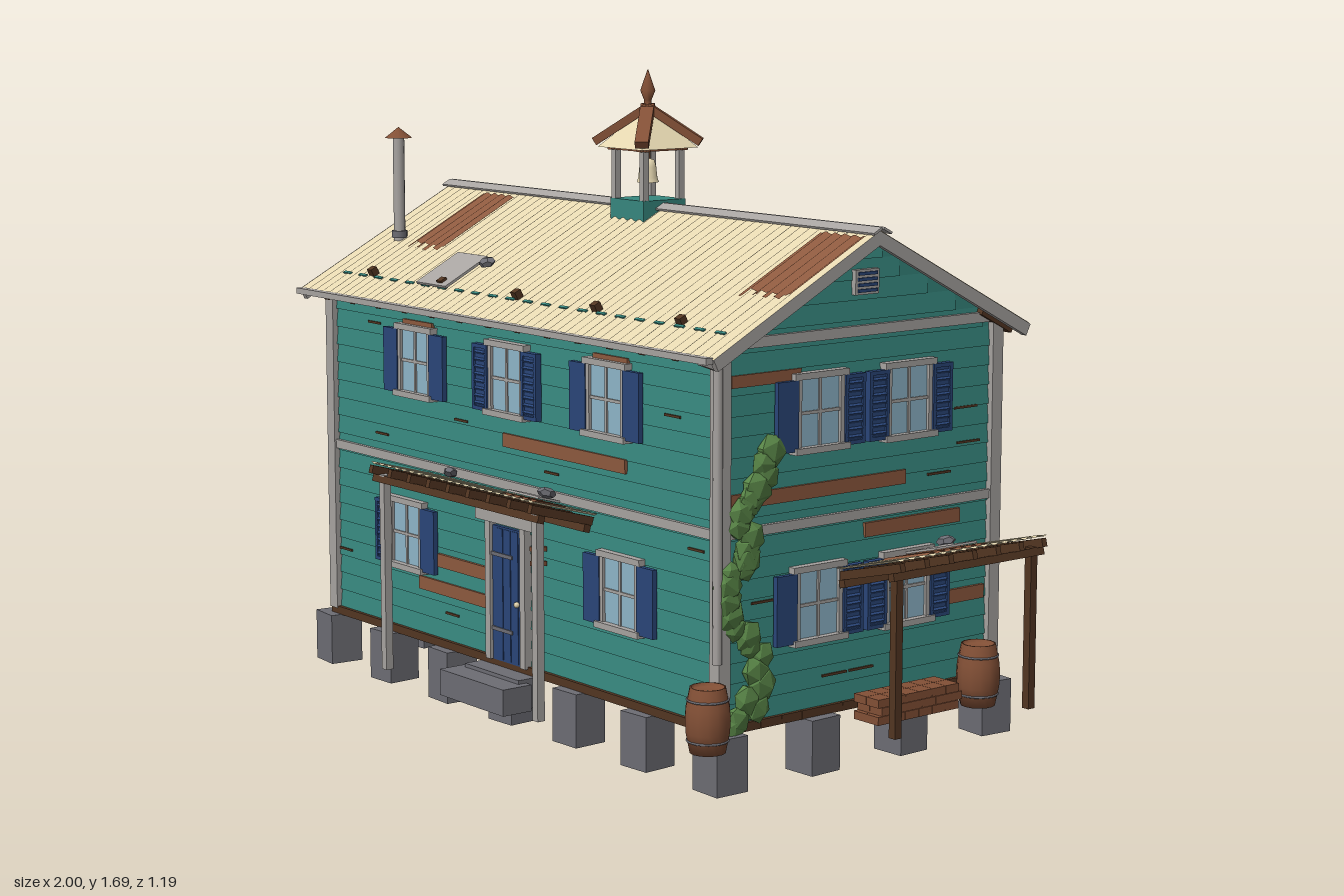
import * as THREE from 'three';

const mat = (name, color, side = THREE.FrontSide) => new THREE.MeshStandardMaterial({ name, color, side });

export function createModel() {
  const root = new THREE.Group();
  root.name = 'house';
  const teal = mat('teal paint', 0x37887f), cream = mat('cream metal', 0xe6d8b1, THREE.DoubleSide),
    rust = mat('rust', 0x8e5a3f, THREE.DoubleSide), dark = mat('dark wood', 0x533622),
    trim = mat('grey trim', 0xa8a4a1), blue = mat('blue paint', 0x2a4679), glass = mat('glass', 0x8fb6ca),
    stone = mat('stone', 0x6d6d74), green = mat('leaf green', 0x5a8748), wood = mat('red wood', 0x835036);

  let seed = 7;
  const rnd = () => (seed = (seed * 16807) % 2147483647) / 2147483647;
  const group = (parent, name, x = 0, y = 0, z = 0, ry = 0) => {
    const g = new THREE.Group();
    g.name = name; g.position.set(x, y, z); g.rotation.y = ry;
    parent.add(g);
    return g;
  };
  const add = (parent, name, geo, m, x = 0, y = 0, z = 0) => {
    const o = new THREE.Mesh(geo, m);
    o.name = name; o.position.set(x, y, z);
    parent.add(o);
    return o;
  };
  const box = (p, name, m, w, h, d, x, y, z) => add(p, name, new THREE.BoxGeometry(w, h, d), m, x, y, z);
  const beam = (p, name, m, w, h, a, b) => {
    const A = new THREE.Vector3(...a), B = new THREE.Vector3(...b), c = A.clone().lerp(B, 0.5);
    const o = box(p, name, m, w, h, A.distanceTo(B), c.x, c.y, c.z);
    o.quaternion.setFromRotationMatrix(new THREE.Matrix4().lookAt(B, A, new THREE.Vector3(0, 1, 0)));
    return o;
  };
  const rock = (p, x, y, z) => {
    const o = add(p, 'looseStone', new THREE.DodecahedronGeometry(0.024), stone, x, y, z);
    o.scale.set(1.1, 0.6, 0.8); o.rotation.y = rnd() * 3;
  };
  // corrugated sheet, waves across x
  const sheet = (p, name, m, x0, x1, z0, z1, lift = 0) => {
    const w = x1 - x0, g = new THREE.PlaneGeometry(w, Math.abs(z1 - z0), Math.ceil(w / 0.006), 1);
    g.rotateX(-Math.PI / 2).translate((x0 + x1) / 2, 0, (z0 + z1) / 2);
    const a = g.attributes.position;
    for (let i = 0; i < a.count; i++) a.setY(i, lift + 0.003 * Math.sin(a.getX(i) * 180));
    g.computeVertexNormals();
    return add(p, name, g, m);
  };

  const X0 = -0.92, X1 = 0.765, CX = (X0 + X1) / 2, LEN = X1 - X0, CZ = -0.067, HALF = 0.452;
  const RIDGE = 1.335, TAN = 0.515, ANG = Math.atan(TAN), COS = Math.cos(ANG);
  const WALL_TOP = RIDGE - 0.014 - HALF * TAN;

  // foundation blocks and plank floor
  for (let i = 0; i < 7; i++) for (let j = 0; j < 4; j++) {
    if (i % 6 && j % 3) continue;
    const b = box(root, 'foundationBlock', stone, 0.095, 0.14, 0.095, -0.93 + i * 0.282, 0.07, 0.38 - j * 0.298);
    b.rotation.y = (rnd() - 0.5) * 0.2;
  }
  for (let i = 0; i < 14; i++) box(root, 'floorPlank', dark, LEN + 0.03, 0.022, 0.066, CX, 0.15, CZ - 0.434 + i * 0.0668);
  box(root, 'floorCore', dark, LEN, 0.012, 0.9, CX, 0.155, CZ);

  // wall body with gables
  const prof = new THREE.Shape([[-HALF, 0.16], [HALF, 0.16], [HALF, WALL_TOP], [0, RIDGE - 0.014], [-HALF, WALL_TOP]].map(p => new THREE.Vector2(...p)));
  const body = new THREE.ExtrudeGeometry(prof, { depth: LEN, bevelEnabled: false });
  body.rotateY(Math.PI / 2).translate(X0, 0, CZ);
  add(root, 'wallBody', body, teal);

  // wall groups: local x along the wall, local z outward
  const front = group(root, 'frontWall', 0, 0, CZ + HALF), back = group(root, 'backWall', 0, 0, CZ - HALF, Math.PI);
  const right = group(root, 'rightWall', X1, 0, 0, Math.PI / 2), left = group(root, 'leftWall', X0, 0, 0, -Math.PI / 2);
  const clapboards = (p, c, halfAt, top) => {
    for (let y = 0.16; y < top; y += 0.05) {
      const h = Math.min(0.05, top - y), hw = halfAt(y + h);
      const s = new THREE.Shape([new THREE.Vector2(0, 0), new THREE.Vector2(0, h), new THREE.Vector2(-0.005, 0)]);
      const g = new THREE.ExtrudeGeometry(s, { depth: hw * 2, bevelEnabled: false });
      g.rotateY(Math.PI / 2).translate(c - hw, y, 0);
      add(p, 'clapboard', g, teal);
    }
  };
  const gable = y => Math.min(HALF, (RIDGE - 0.014 - y) / TAN);
  clapboards(front, CX, () => LEN / 2, WALL_TOP);
  clapboards(back, -CX, () => LEN / 2, WALL_TOP);
  clapboards(right, -CZ, gable, 1.29);
  clapboards(left, CZ, gable, 1.29);

  // trim belts and corner boards
  box(root, 'beltTrim', trim, LEN + 0.026, 0.024, HALF * 2 + 0.026, CX, 0.628, CZ);
  for (const [p, c] of [[right, -CZ], [left, CZ]]) {
    box(p, 'gableTrim', trim, HALF * 2 - 0.03, 0.026, 0.014, c, 1.085, 0.006);
    box(p, 'ventFrame', trim, 0.078, 0.062, 0.02, c, 1.205, 0.006);
    for (let i = 0; i < 4; i++) box(p, 'ventSlat', blue, 0.062, 0.008, 0.006, c, 1.184 + i * 0.014, 0.017);
  }
  for (const x of [X0, X1]) for (const s of [-1, 1]) box(root, 'cornerBoard', trim, 0.036, 0.925, 0.036, x, 0.618, CZ + s * HALF);

  // rusty replacement planks, cracks
  const plank = (p, a, b, y, h = 0.036) => box(p, 'rustyPlank', rust, Math.abs(b - a), h, 0.009, (a + b) / 2, y, 0.006);
  [[-0.105, 0.41, 0.745], [-0.5, -0.16, 0.3], [-0.41, -0.165, 0.375], [-0.565, -0.425, 1.008, 0.016], [0.28, 0.42, 1.008, 0.016]].forEach(a => plank(front, ...a));
  [[-0.36, -0.14, 0.995, 0.03], [-0.36, 0.21, 0.705], [0.075, 0.4, 0.585], [0.36, 0.49, 0.375]].forEach(a => plank(right, ...a));
  [[0.12, 0.34, 0.805], [-0.12, 0.19, 0.592], [-0.42, -0.18, 0.755]].forEach(a => plank(left, ...a));
  plank(back, 0.74, 0.88, 0.355);
  const crack = (p, x, y, w, h) => box(p, 'crack', dark, w, h, 0.004, x, y, 0.005);
  [[0.59, 0.895], [-0.3, 0.77], [-0.71, 0.99], [-0.68, 0.685], [-0.87, 0.33], [0.68, 0.58], [0.1, 0.685], [0.7, 0.235], [-0.35, 0.235]].forEach(([x, y]) => crack(front, x, y, 0.06, 0.006));
  [[0.43, 0.77], [-0.02, 0.235], [0.07, 0.235], [0.33, 0.7], [0.42, 0.86], [-0.25, 0.45]].forEach(([x, y]) => crack(right, x, y, 0.08, 0.006));
  for (let i = 0; i < 26; i++) crack(back, -0.72 + rnd() * 1.58, 0.22 + rnd() * 0.75, 0.005, 0.012);

  // windows with optional shutters ('s' solid, 'l' louvered)
  const shutter = (p, kind, x, y, h) => {
    const g = group(p, 'shutter', x, y, 0.016);
    box(g, 'shutterPanel', blue, 0.066, h, kind === 'l' ? 0.008 : 0.014, 0, 0, 0);
    if (kind !== 'l') return;
    for (const s of [-1, 1]) {
      box(g, 'stile', blue, 0.01, h, 0.018, s * 0.028, 0, 0);
      box(g, 'rail', blue, 0.066, 0.01, 0.018, 0, s * (h / 2 - 0.005), 0);
    }
    for (let i = 0; i < 8; i++) box(g, 'louver', blue, 0.05, 0.007, 0.015, 0, -h / 2 + 0.02 + i * (h - 0.04) / 7, 0.002).rotation.x = 0.6;
  };
  const windowAt = (p, x, y, kinds = '', w = 0.14, h = 0.17) => {
    const g = group(p, 'window', x, y, 0);
    box(g, 'glass', glass, w, h, 0.008, 0, 0, 0.008);
    for (const s of [-1, 1]) {
      box(g, 'sideTrim', trim, 0.014, h + 0.02, 0.02, s * w / 2, 0, 0.01);
      box(g, 'headAndSill', trim, w + 0.035, 0.016, s < 0 ? 0.036 : 0.024, 0, s * (h / 2 + 0.006), 0.012);
    }
    box(g, 'mullion', trim, 0.008, h, 0.006, 0, 0, 0.013);
    box(g, 'glazingBar', trim, w, 0.008, 0.006, 0, 0, 0.013);
    if (kinds) [-1, 1].forEach((s, i) => shutter(g, kinds[i], s * (w / 2 + 0.038), -0.004, h + 0.004));
  };
  [[-0.5, 0.905, 'ss'], [-0.08, 0.905, 'll'], [0.34, 0.905, 'ss'], [-0.55, 0.425, 'ls'], [0.395, 0.425, 'ss']].forEach(a => windowAt(front, ...a));
  [[-0.083, 0.9, 'sl'], [0.213, 0.9, 'll'], [-0.083, 0.425, 'sl'], [0.213, 0.425, 'll']].forEach(a => windowAt(right, ...a));
  [[-0.01, 0.9, 'ls'], [-0.01, 0.43, 'sl']].forEach(a => windowAt(left, ...a));
  for (const x of [-0.26, 0.41]) windowAt(back, x, 0.46, '', 0.085, 0.095);

  // door, lamp and steps
  const door = group(front, 'door', -0.08, 0, 0);
  box(door, 'doorLeaf', blue, 0.135, 0.36, 0.016, 0, 0.335, 0.008);
  for (const y of [0.24, 0.44]) box(door, 'hinge', stone, 0.09, 0.01, 0.006, -0.02, y, 0.018);
  for (const x of [-0.034, 0, 0.034]) box(door, 'doorBatten', blue, 0.03, 0.35, 0.002, x, 0.335, 0.017);
  add(door, 'doorKnob', new THREE.SphereGeometry(0.008, 8, 6), cream, 0.048, 0.32, 0.022);
  for (const s of [-1, 1]) box(door, 'doorPost', trim, 0.022, 0.37, 0.026, s * 0.077, 0.34, 0.012);
  box(door, 'doorHead', trim, 0.25, 0.03, 0.03, 0, 0.54, 0.014);
  box(front, 'lampBody', cream, 0.018, 0.03, 0.024, 0.07, 0.465, 0.03);
  for (const y of [0.448, 0.486]) box(front, 'lampCap', wood, 0.028, 0.012, 0.034, 0.07, y, 0.026);
  box(root, 'upperStep', stone, 0.24, 0.08, 0.07, -0.08, 0.1, 0.42);
  box(root, 'lowerStep', stone, 0.285, 0.07, 0.09, -0.08, 0.095, 0.475);

  // main roof: each slope tilts around the ridge
  const RX0 = -0.985, RX1 = 0.825, RL = RX1 - RX0, RC = (RX0 + RX1) / 2, DROP = 0.525 / COS;
  const slopes = {};
  for (const s of [1, -1]) {
    const g = slopes[s] = group(root, s > 0 ? 'frontRoof' : 'backRoof', 0, RIDGE, CZ);
    g.rotation.x = s * ANG;
    sheet(g, 'roofSheet', cream, RX0, RX1, 0, s * DROP);
    box(g, 'roofDeck', dark, RL - 0.03, 0.006, DROP - 0.03, RC, -0.008, s * DROP / 2);
    for (let i = 0; i < 14; i++) box(g, 'rafterTail', dark, 0.024, 0.026, 0.12, -0.89 + i * 0.128, -0.024, s * (DROP - 0.075));
    for (const x of [RX0 + 0.008, RX1 - 0.008]) box(g, 'rakeBoard', trim, 0.016, 0.032, DROP, x, -0.018, s * DROP / 2);
    box(g, 'ridgeCap', trim, RL + 0.02, 0.006, 0.03, RC, 0.006, s * 0.015);
    for (let i = 0; i < 22; i++) box(g, 'roofScrewStrip', teal, 0.035, 0.004, 0.008, -0.87 + i * 0.077, 0.003, s * 0.437 / COS);
    for (let i = 0; i < 5; i++) box(g, 'snowGuard', dark, 0.022, 0.022, 0.02, -0.755 + i * 0.336, 0.01, s * 0.425 / COS);
  }
  // rust patches with ragged lower ends: side, x range, world z range
  for (const [s, a, b, z0, z1] of [[1, -0.78, -0.625, -0.03, 0.21], [1, 0.65, 0.815, -0.03, 0.21], [-1, -0.88, -0.57, -0.595, -0.38],
    [-1, -0.98, -0.75, -0.365, -0.11], [-1, -0.245, -0.095, -0.595, -0.37], [-1, -0.2, -0.045, -0.365, -0.11], [-1, 0.435, 0.595, -0.36, -0.11]]) {
    sheet(slopes[s], 'rustPatch', rust, a, b, (z0 - CZ) / COS, (z1 - CZ) / COS, 0.004);
    for (let x = a; x < b - 0.02; x += 0.04) sheet(slopes[s], 'rustRun', rust, x, x + 0.02, (z1 - CZ) / COS, (z1 - CZ + 0.01 + rnd() * 0.02) / COS, 0.004);
  }
  for (const [s, x, z, w, d, r] of [[1, -0.447, 0.307, 0.137, 0.155, 0], [-1, -0.567, -0.487, 0.135, 0.155, 0], [-1, 0.34, -0.3, 0.17, 0.085, -0.25]])
    box(slopes[s], 'metalPatch', trim, w, 0.007, d, x, 0.011, (z - CZ) / COS).rotation.y = r;
  for (const [s, x, z] of [[1, -0.33, 0.27], [-1, -0.87, -0.475], [-1, 0.395, -0.465], [-1, 0.355, -0.29]]) rock(slopes[s], x, 0.022, (z - CZ) / COS);
  box(root, 'gutter', trim, 1.79, 0.016, 0.022, -0.075, 1.06, 0.466);
  add(root, 'downspout', new THREE.CylinderGeometry(0.012, 0.012, 0.72, 8), trim, 0.782, 0.68, 0.408);
  beam(root, 'spoutElbow', trim, 0.018, 0.018, [0.782, 1.035, 0.406], [0.782, 1.055, 0.46]);

  // stove pipe
  add(root, 'stovePipe', new THREE.CylinderGeometry(0.016, 0.016, 0.31, 12), trim, -0.865, 1.325, 0.2);
  add(root, 'pipeCollar', new THREE.CylinderGeometry(0.022, 0.022, 0.02, 12), stone, -0.865, 1.21, 0.2);
  add(root, 'pipeCap', new THREE.ConeGeometry(0.038, 0.03, 12), wood, -0.865, 1.495, 0.2);

  // bell tower
  const tower = group(root, 'bellTower', -0.08, 0, CZ);
  box(tower, 'towerBase', teal, 0.142, 0.09, 0.142, 0, 1.305, 0);
  for (const a of [-1, 1]) for (const b of [-1, 1]) {
    box(tower, 'towerPost', trim, 0.018, 0.15, 0.018, a * 0.06, 1.42, b * 0.06);
    beam(tower, 'hipBeam', wood, 0.036, 0.022, [0, 1.592, 0], [a * 0.1, 1.5, b * 0.1]);
  }
  for (const s of [-1, 1]) {
    box(tower, 'eaveBeam', wood, 0.16, 0.016, 0.016, 0, 1.487, s * 0.062);
    box(tower, 'eaveBeam', wood, 0.016, 0.016, 0.16, s * 0.062, 1.487, 0);
  }
  add(tower, 'towerRoof', new THREE.ConeGeometry(0.134, 0.105, 4).rotateY(Math.PI / 4).toNonIndexed(), cream, 0, 1.538, 0).geometry.computeVertexNormals();
  const lathe = (p, name, m, pts, n, x, y, z) => add(p, name, new THREE.LatheGeometry(pts.map(q => new THREE.Vector2(...q)), n), m, x, y, z);
  lathe(tower, 'finial', wood, [[0.016, 0], [0.01, 0.025], [0.01, 0.035], [0.02, 0.06], [0.001, 0.115]], 8, 0, 1.575, 0);
  lathe(tower, 'bell', cream, [[0.03, 0], [0.026, 0.012], [0.023, 0.04], [0.018, 0.058], [0.001, 0.064]], 14, 0, 1.393, 0);
  add(tower, 'clapper', new THREE.SphereGeometry(0.007, 8, 6), dark, 0, 1.394, 0);
  box(tower, 'bellHanger', dark, 0.01, 0.045, 0.01, 0, 1.472, 0);

  // awnings rising outward: local x along the wall, z outward
  const awning = (p, a, b, y0, y1, d, postM, postY, posts, postZ) => {
    const g = group(p, 'awning'), tilt = group(g, 'awningRoof', 0, y0, 0);
    tilt.rotation.x = -Math.atan((y1 - y0) / d);
    const L = Math.hypot(d, y1 - y0);
    sheet(tilt, 'awningSheet', cream, a, b, 0, L, 0.012);
    const n = Math.round((b - a) / 0.09);
    for (let i = 0; i <= n; i++) box(tilt, 'joist', dark, 0.016, 0.022, L - 0.01, a + 0.015 + i * (b - a - 0.03) / n, -0.006, L / 2 + 0.006);
    for (const z of [0.03, L - 0.03]) box(tilt, 'awningBeam', dark, b - a, 0.02, 0.02, (a + b) / 2, -0.026, z);
    for (const x of posts) {
      const h = y1 - 0.02 - postY;
      box(g, 'awningPost', postM, 0.022, h, 0.022, x, postY + h / 2, postZ);
    }
    return tilt;
  };
  const porch = awning(front, -0.45, 0.29, 0.592, 0.648, 0.2, trim, 0.1, [-0.41, 0.27], 0.175);
  sheet(porch, 'rustPatch', rust, 0.13, 0.285, 0.1, 0.2, 0.016);
  box(porch, 'metalPatch', trim, 0.135, 0.006, 0.07, 0.15, 0.024, 0.11);
  rock(porch, -0.225, 0.032, 0.105);
  rock(porch, 0.22, 0.04, 0.125);
  const lean = awning(right, -0.025, 0.49, 0.485, 0.545, 0.233, dark, 0.11, [0, 0.46], 0.205);
  sheet(lean, 'rustPatch', rust, 0.1, 0.3, 0.05, 0.22, 0.016);
  box(lean, 'metalPatch', trim, 0.14, 0.006, 0.11, 0.22, 0.024, 0.14);
  rock(lean, 0.29, 0.036, 0.085);

  // barrels
  for (const [x, y, z] of [[0.795, 0.115, 0.447], [0.865, 0.11, -0.385]]) {
    const g = group(root, 'barrel', x, y, z);
    lathe(g, 'barrelStaves', wood, [[0.001, 0], [0.044, 0], [0.054, 0.05], [0.056, 0.08], [0.054, 0.11], [0.044, 0.16], [0.04, 0.16], [0.04, 0.15], [0.001, 0.15]], 14, 0, 0, 0);
    for (const [h, r] of [[0.03, 0.05], [0.13, 0.05]])
      add(g, 'barrelHoop', new THREE.TorusGeometry(r, 0.003, 5, 20).rotateX(Math.PI / 2), stone, 0, h, 0);
  }
  // brick pile
  for (let r = 0; r < 3; r++) for (let i = 0; i < 6; i++) for (let k = 0; k < 2; k++)
    box(root, 'brick', wood, 0.044, 0.021, 0.045, 0.81 + k * 0.045, 0.126 + r * 0.022, -0.053 - i * 0.046 - (r % 2) * 0.012);

  // climbing vine on the right wall, points as z, y
  const path = [[0.34, 0.15], [0.29, 0.22], [0.28, 0.33], [0.335, 0.41], [0.36, 0.52], [0.305, 0.575], [0.315, 0.67], [0.285, 0.73], [0.245, 0.82]];
  const curve = new THREE.CatmullRomCurve3(path.map(([z, y]) => new THREE.Vector3(X1 + 0.012, y, z)));
  add(root, 'vineStem', new THREE.TubeGeometry(curve, 40, 0.006, 5), dark);
  for (let i = 0; i < 26; i++) {
    const q = curve.getPoint(i / 25);
    const o = add(root, 'vineLeaves', new THREE.IcosahedronGeometry(0.034 + rnd() * 0.014, 0), green, q.x + 0.004, q.y, q.z + (rnd() - 0.5) * 0.05);
    o.scale.x = 0.45; o.rotation.x = rnd() * 6;
  }
  return root;
}
